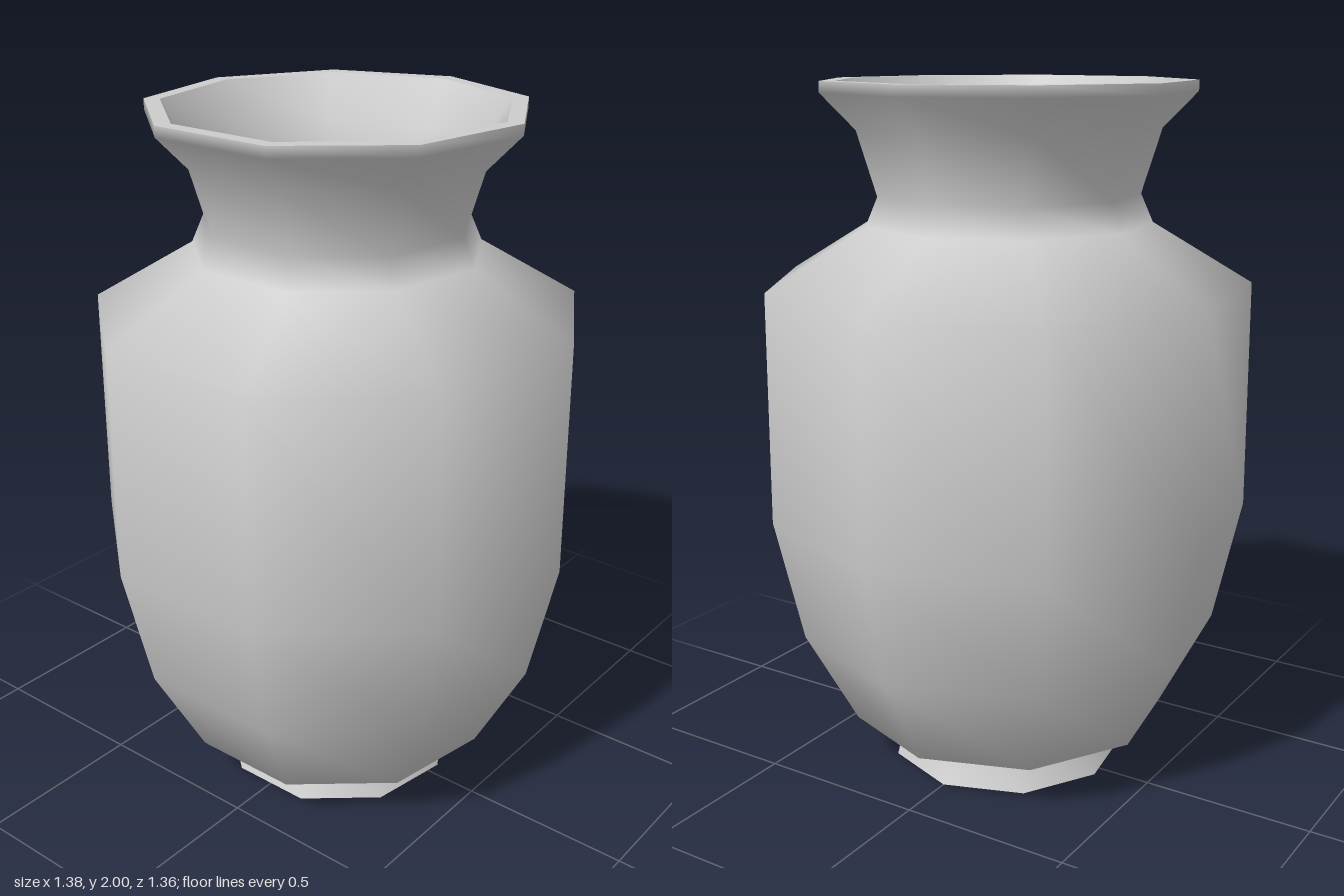
import * as THREE from 'three';

const SIDES = 9;
const material = new THREE.MeshStandardMaterial({ color: 0xcccccc });

// Nine-sided turned part with one corner at the back; profile is [radius, y].
// Profiles run upwards for outward faces and downwards for inward ones.
function turned(name, profile) {
  const points = profile.map(([r, y]) => new THREE.Vector2(r, y));
  const mesh = new THREE.Mesh(new THREE.LatheGeometry(points, SIDES, Math.PI), material);
  mesh.name = name;
  return mesh;
}

export function createModel() {
  const vase = new THREE.Group();
  vase.name = 'vase';

  vase.add(
    // Flat underside and flared foot
    turned('footBase', [[0, 0], [0.35, 0]]),
    turned('foot', [[0.35, 0], [0.31, 0.075], [0.305, 0.107]]),
    // Belly, shoulder, neck and flared lip in one smooth skin
    turned('body', [
      [0.305, 0.107], [0.47, 0.14], [0.62, 0.42], [0.7, 0.78], [0.695, 1.44],
      [0.41, 1.61], [0.375, 1.69], [0.43, 1.87], [0.527, 1.97], [0.527, 2],
    ]),
    // Flat top of the lip
    turned('rim', [[0.527, 2], [0.482, 2]]),
    // Inside of the neck and belly
    turned('innerWall', [
      [0.482, 2], [0.395, 1.87], [0.335, 1.69], [0.37, 1.6], [0.65, 1.42],
      [0.66, 0.78], [0.58, 0.42], [0.44, 0.16], [0.35, 0.14],
    ]),
    // Slightly raised floor inside
    turned('innerFloorEdge', [[0.35, 0.14], [0.315, 0.18], [0.3, 0.2]]),
    turned('innerFloor', [[0.3, 0.2], [0, 0.2]]),
  );

  // An odd number of sides reaches further back than forward, so recentre
  vase.position.z = 0.02;
  const model = new THREE.Group();
  model.add(vase);
  return model;
}
